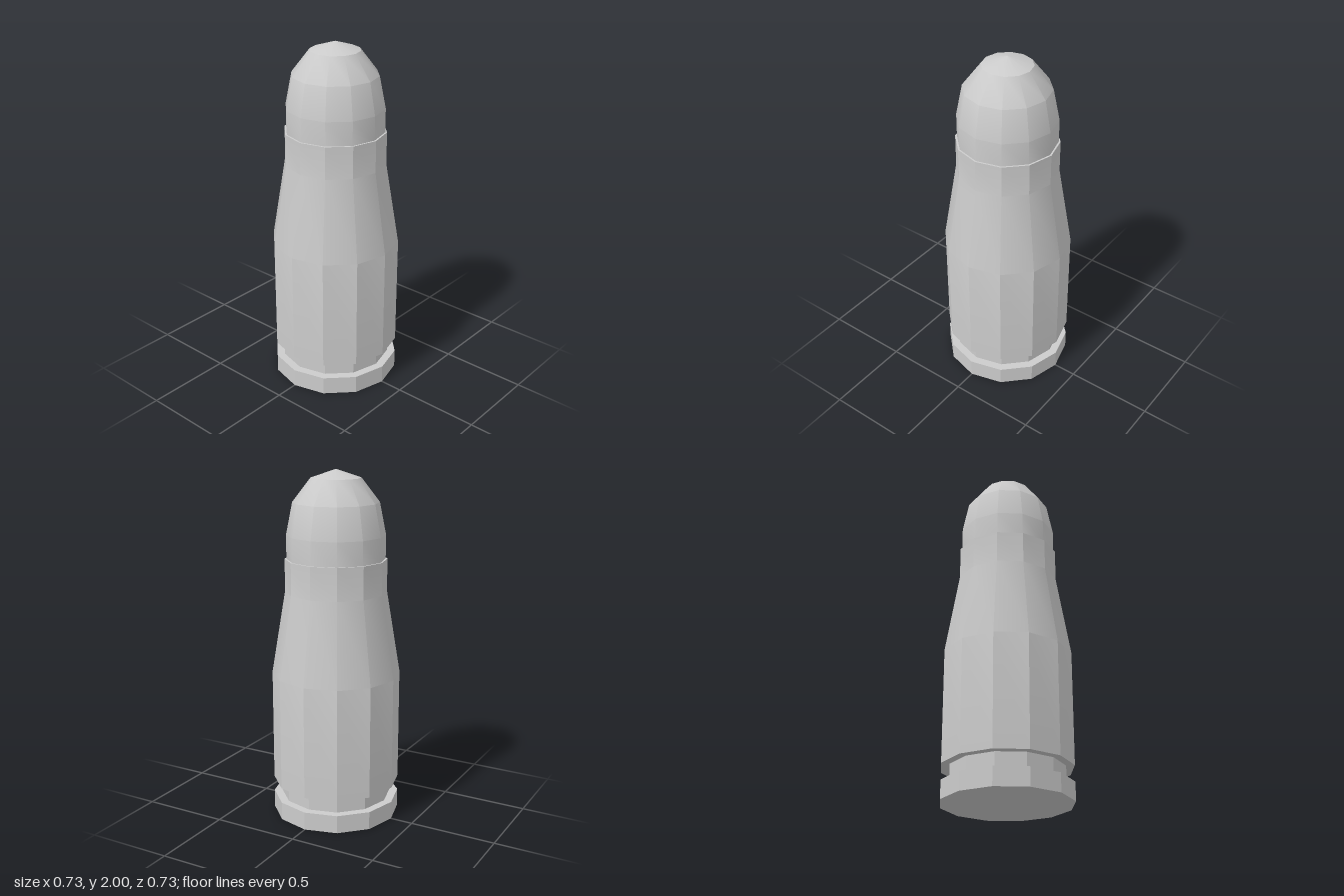
import * as THREE from 'three';
import { toCreasedNormals } from 'three/addons/utils/BufferGeometryUtils.js';

const SIDES = 12;
const material = new THREE.MeshStandardMaterial({ color: 0xcccccc });

// Turns a [radius, height] profile, listed from bottom to top, into a 12-sided part.
// Edges sharper than creaseDegrees stay hard.
function turnedPart(name, profile, creaseDegrees) {
  const points = profile.map(([r, y]) => new THREE.Vector2(r, y));
  const lathe = new THREE.LatheGeometry(points, SIDES);
  const geometry = toCreasedNormals(lathe, THREE.MathUtils.degToRad(creaseDegrees));
  const mesh = new THREE.Mesh(geometry, material);
  mesh.name = name;
  return mesh;
}

export function createModel() {
  const model = new THREE.Group();
  model.name = 'cartridge';

  // Flat base disc with a faceted edge
  model.add(turnedPart('rim', [[0, 0], [0.367, 0], [0.367, 0.105], [0.32, 0.105]], 29.8));

  // Narrow band between rim and case
  model.add(turnedPart('extractorGroove', [[0.32, 0.105], [0.32, 0.195]], 29.8));

  // Faceted body with a softly shaded shoulder, straight neck and thin mouth
  model.add(turnedPart('case', [
    [0.32, 0.195], [0.367, 0.195], [0.367, 0.845], [0.288, 1.32], [0.288, 1.505], [0.278, 1.505],
  ], 29.8));

  // Smooth rounded nose with a shallow pointed cap
  model.add(turnedPart('bullet', [
    [0.278, 1.49], [0.278, 1.64], [0.242, 1.82], [0.14, 1.953], [0, 2],
  ], 31.5));

  return model;
}
